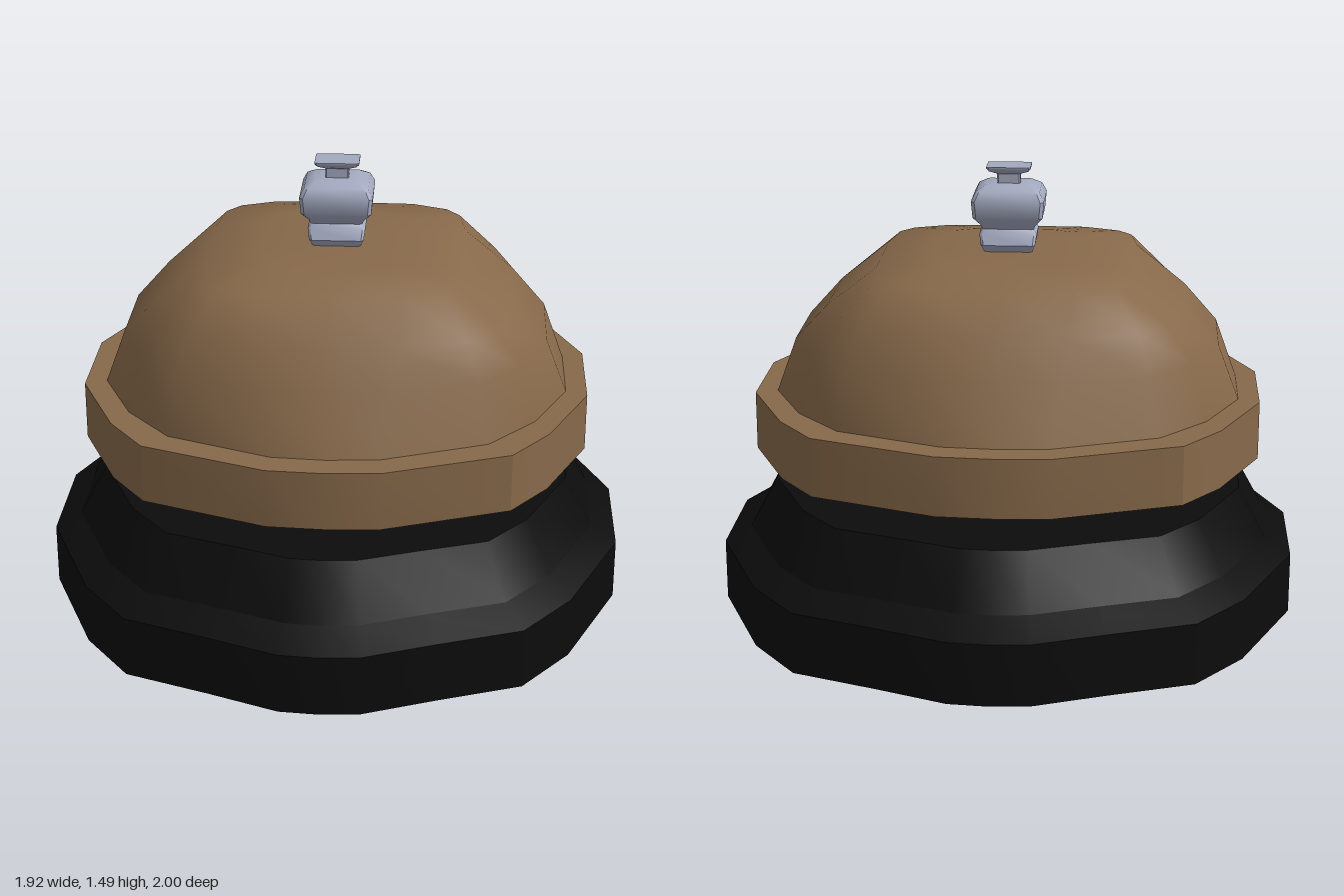
import * as THREE from 'three';
import { toCreasedNormals } from 'three/addons/utils/BufferGeometryUtils.js';

const material = (name, color) => {
  const m = new THREE.MeshStandardMaterial({ color });
  m.name = name;
  return m;
};

// Mirror a quadrant outline [x, z] (from +x round to +z) into a full ring at height y.
function ring(quadrant, y, sx = 1, sz = sx) {
  const q = quadrant.map(([x, z]) => [x * sx, z * sz]);
  const inner = q.filter(([x]) => x > 0).reverse(); // keeps points on the z axis single
  return [
    ...q,
    ...inner.map(([x, z]) => [-x, z]),
    ...q.map(([x, z]) => [-x, -z]),
    ...inner.map(([x, z]) => [x, -z]),
  ].map(([x, z]) => [x, y, z]);
}

// Skin a stack of rings, with optional end caps.
function loft(rings, crease, capBottom = true, capTop = true) {
  const n = rings[0].length, pos = [];
  const tri = (...corners) => corners.forEach((p) => pos.push(...p));
  for (let r = 0; r < rings.length - 1; r++) {
    for (let i = 0; i < n; i++) {
      const j = (i + 1) % n;
      const a = rings[r][i], b = rings[r][j], c = rings[r + 1][j], d = rings[r + 1][i];
      tri(a, d, c);
      tri(a, c, b);
    }
  }
  const bottom = rings[0], top = rings[rings.length - 1];
  for (let i = 0; i < n; i++) {
    const j = (i + 1) % n;
    if (capBottom) tri([0, bottom[0][1], 0], bottom[i], bottom[j]);
    if (capTop) tri([0, top[0][1], 0], top[j], top[i]);
  }
  const g = new THREE.BufferGeometry();
  g.setAttribute('position', new THREE.Float32BufferAttribute(pos, 3));
  return toCreasedNormals(g, crease);
}

export function createModel() {
  const group = new THREE.Group();
  const black = material('black', 0x0c0c0c);
  const brass = material('brass', 0x87694a);
  const steel = material('steel', 0xa3a9bf);
  brass.side = THREE.DoubleSide;

  const add = (name, geometry, mat, z = 0) => {
    const mesh = new THREE.Mesh(geometry, mat);
    mesh.name = name;
    mesh.position.z = z;
    group.add(mesh);
  };

  // Base: stepped, rough-cut round foot
  const foot = [[0.96, 0.2], [0.79, 0.6], [0.635, 0.8], [0.36, 0.9], [0.13, 0.99], [0, 1]];
  add('base', loft([
    ring(foot, 0.005), ring(foot, 0.21), ring(foot, 0.26, 0.91, 0.89), ring(foot, 0.43, 0.815, 0.78),
  ], 0.5), black);

  // Post holding up the bell
  const block = [[1, 1]];
  add('post', loft([ring(block, 0.42, 0.17, 0.34), ring(block, 0.58, 0.15, 0.285)], 0.5), black);

  // Bell rim: a band with an open middle
  const rim = [[0.84, 0.175], [0.705, 0.48], [0.585, 0.64], [0.18, 0.79], [0, 0.8]];
  const mouth = [[0.77, 0.145], [0.66, 0.39], [0.51, 0.565], [0.17, 0.697], [0, 0.708]];
  add('bellRim', loft([
    ring(mouth, 0.74), ring(mouth, 0.545), ring(rim, 0.545), ring(rim, 0.74), ring(mouth, 0.74),
  ], 0.5, false, false), brass, -0.01);

  // Bell dome: round at the mouth, turning to a soft square at the top
  const lower = [[0.7, 0.16], [0.61, 0.39], [0.48, 0.52], [0.2, 0.61], [0, 0.62]];
  const middle = [[0.59, 0.18], [0.53, 0.38], [0.44, 0.48], [0.22, 0.545], [0, 0.55]];
  const shoulder = [[0.425, 0.19], [0.405, 0.34], [0.36, 0.4], [0.24, 0.45], [0, 0.455]];
  add('bellDome', loft([
    ring(mouth, 0.74), ring(lower, 0.93), ring(middle, 1.05),
    ring(shoulder, 1.18), ring(shoulder, 1.21, 0.55, 0.6),
  ], 1.0, false), brass, -0.01);

  // Push button: squared turned knob [y, half width, half depth]
  const square = [[1, 0.88], [0.9, 1]];
  const knob = [
    [1.2, 0.075, 0.06], [1.235, 0.09, 0.085], [1.27, 0.095, 0.07], [1.285, 0.085, 0.06],
    [1.3, 0.09, 0.075], [1.33, 0.115, 0.105], [1.385, 0.12, 0.11], [1.415, 0.105, 0.095],
    [1.432, 0.075, 0.065], [1.434, 0.038, 0.03], [1.465, 0.038, 0.03],
    [1.475, 0.065, 0.045], [1.485, 0.073, 0.052], [1.49, 0.073, 0.052],
  ];
  add('button', loft(knob.map(([y, w, d]) => ring(square, y, w, d)), 0.7), steel, -0.01);

  return group;
}
